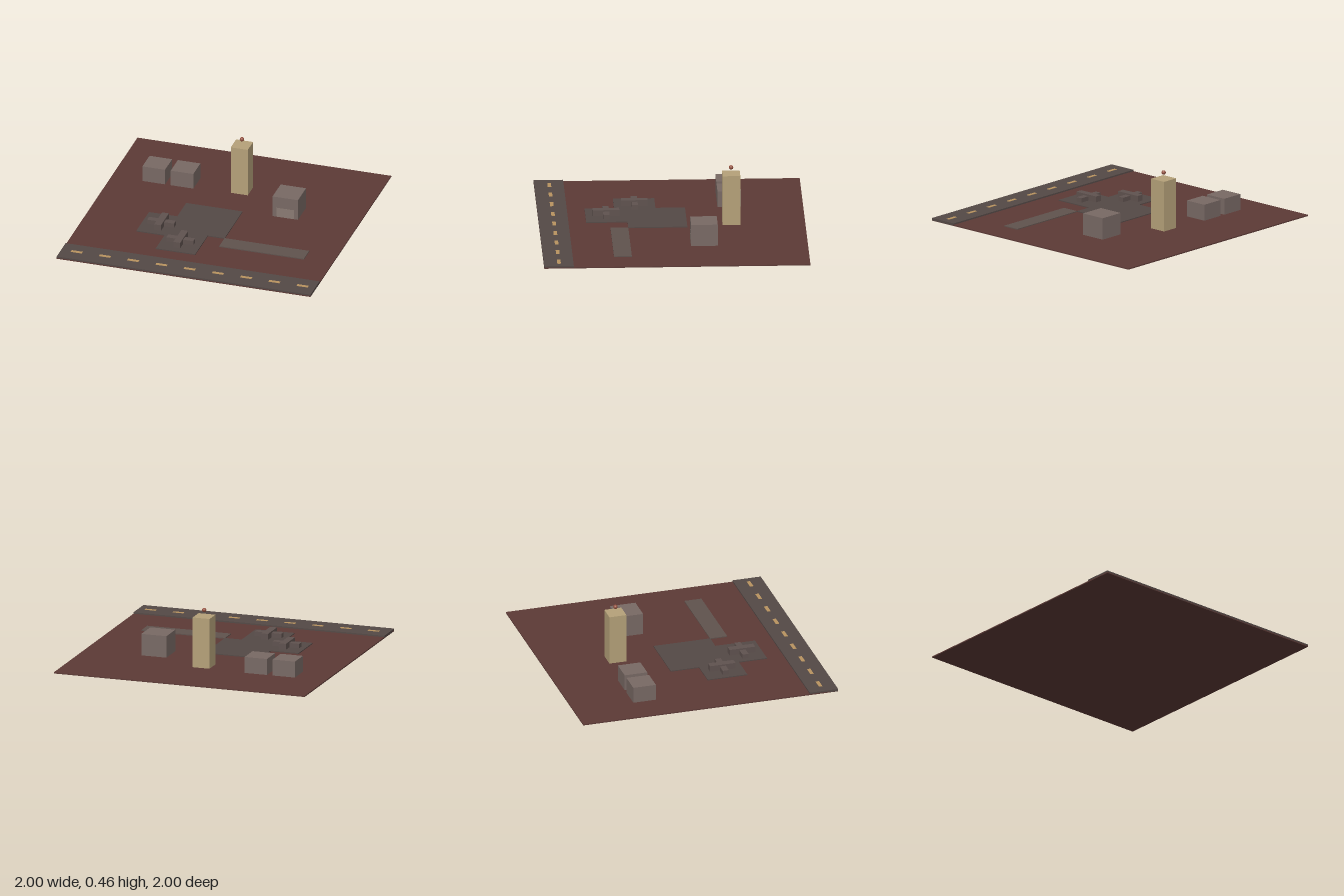
import * as THREE from 'three';

const paint = (color) => new THREE.MeshStandardMaterial({ color });
const mats = {
  earth: paint(0x5c3a36), tarmac: paint(0x544946), strip: paint(0x5f524d),
  dash: paint(0xb8935f), hangar: paint(0x786964), door: paint(0x8a7b73),
  tower: paint(0xb5a179), craft: paint(0x5f524f), beacon: paint(0x94503e),
};

const GROUND = 0.009; // top of the ground slab
const APRON = 0.016; // top of the parking slabs
const ROAD = 0.02; // top of the runway

export function createModel() {
  const model = new THREE.Group();
  model.name = 'airfield';

  // Box given by its x, y and z extents
  const block = (name, mat, [x0, x1], [y0, y1], [z0, z1], parent = model) => {
    const mesh = new THREE.Mesh(new THREE.BoxGeometry(x1 - x0, y1 - y0, z1 - z0), mat);
    mesh.position.set((x0 + x1) / 2, (y0 + y1) / 2, (z0 + z1) / 2);
    mesh.name = name;
    parent.add(mesh);
  };

  block('ground', mats.earth, [-1, 1], [0, GROUND], [-1, 1]);

  // Runway with dashed centre line
  block('runway', mats.tarmac, [-1, 1], [0.002, ROAD], [0.778, 1]);
  for (let i = 0; i < 9; i++) {
    const x = -0.878 + i * 0.2225;
    block('runwayDash', mats.dash, [x - 0.044, x + 0.044], [ROAD - 0.002, ROAD + 0.002], [0.873, 0.9]);
  }

  // Apron: one L-shaped outline with two parking stands
  const outline = [
    [-0.333, -0.111], [0.111, -0.111], [0.111, 0.333], [-0.022, 0.333], [-0.022, 0.644],
    [-0.333, 0.644], [-0.333, 0.422], [-0.556, 0.422], [-0.556, 0.111], [-0.333, 0.111],
  ].map(([x, z]) => new THREE.Vector2(x, -z));
  const apron = new THREE.Mesh(
    new THREE.ExtrudeGeometry(new THREE.Shape(outline), { depth: APRON - 0.004, bevelEnabled: false }),
    mats.tarmac);
  apron.rotation.x = -Math.PI / 2;
  apron.position.y = 0.004;
  apron.name = 'apron';
  model.add(apron);

  block('taxiway', mats.strip, [0.111, 0.778], [0.004, APRON], [0.333, 0.467]);

  // Parked aircraft: a fuselage crossed by a lower wing
  for (const [x, z] of [[-0.407, 0.267], [-0.185, 0.489]]) {
    const craft = new THREE.Group();
    craft.name = 'aircraft';
    craft.position.set(x, 0, z);
    block('fuselage', mats.craft, [-0.027, 0.027], [APRON, 0.062], [-0.1, 0.1], craft);
    block('wing', mats.craft, [-0.106, 0.106], [APRON, 0.05], [-0.024, 0.024], craft);
    model.add(craft);
  }

  // Hangars
  for (const x of [-0.667, -0.444])
    block('smallHangar', mats.hangar, [x - 0.089, x + 0.089], [GROUND, 0.133], [-0.533, -0.356]);
  block('largeHangar', mats.hangar, [0.344, 0.544], [GROUND, 0.176], [-0.322, -0.122]);
  block('hangarDoor', mats.door, [0.375, 0.513], [GROUND, 0.085], [-0.13, -0.1215]);

  // Control tower with a beacon floating above its roof
  block('controlTower', mats.tower, [-0.067, 0.067], [GROUND, 0.396], [-0.511, -0.378]);
  const beacon = new THREE.Mesh(new THREE.SphereGeometry(0.0165, 16, 12), mats.beacon);
  beacon.position.set(0, 0.443, -0.444);
  beacon.name = 'beacon';
  model.add(beacon);

  return model;
}
